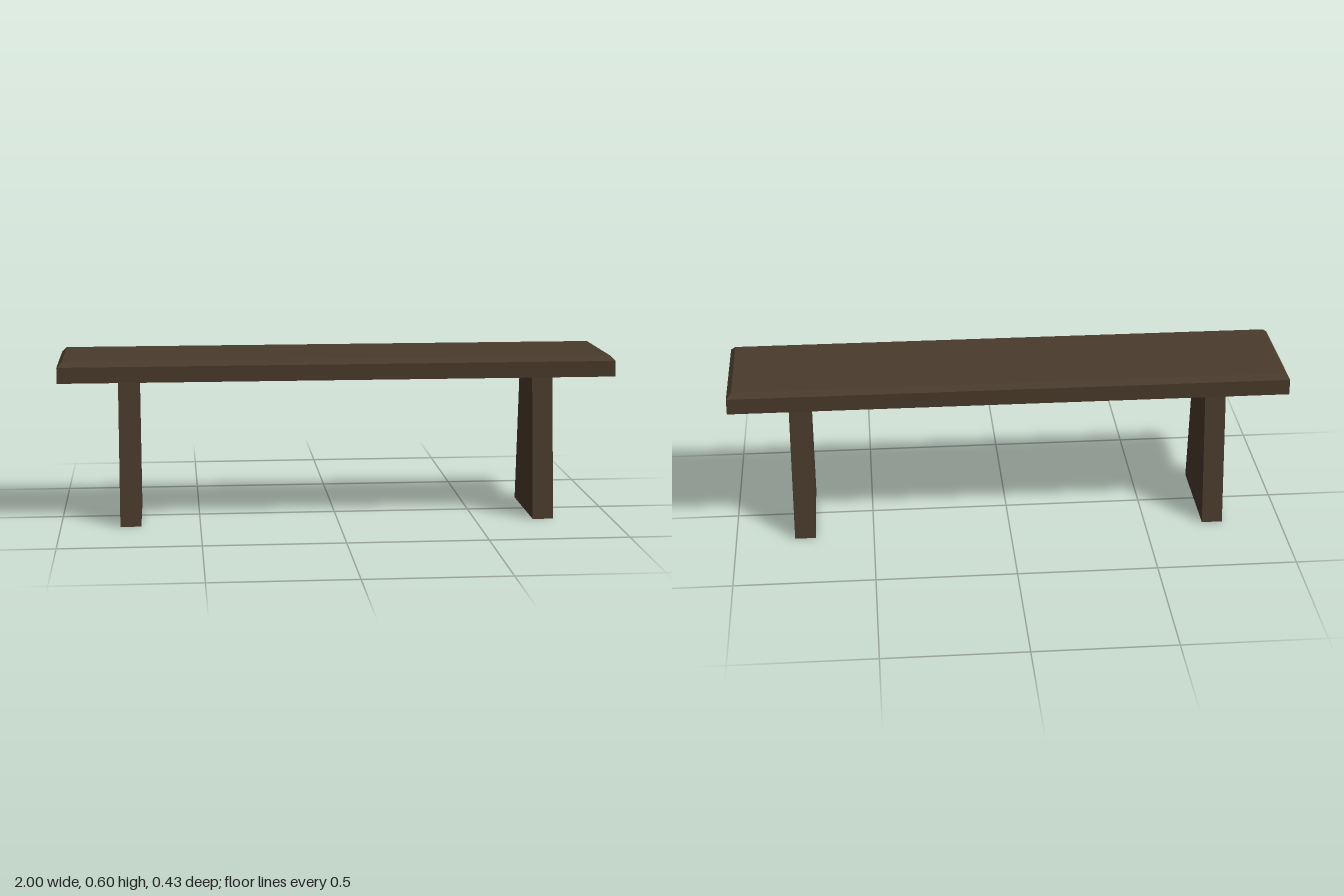
import * as THREE from 'three';

// Move every vertex of a box by a rule, then give it flat facet normals
function shapedBox(w, h, d, rows, rule) {
  const box = new THREE.BoxGeometry(w, h, d, 1, rows, 1).translate(0, h / 2, 0);
  const geometry = box.toNonIndexed();
  const position = geometry.attributes.position;
  const v = new THREE.Vector3();
  for (let i = 0; i < position.count; i++) {
    rule(v.fromBufferAttribute(position, i));
    position.setXYZ(i, v.x, v.y, v.z);
  }
  geometry.computeVertexNormals();
  return geometry;
}

export function createModel() {
  const bench = new THREE.Group();
  bench.name = 'bench';
  const wood = new THREE.MeshStandardMaterial({ color: 0x4a3b2c });
  wood.name = 'dark wood';

  const legHeight = 0.527, seatHeight = 0.075, bevel = 0.018;

  // Seat plank with a bevelled upper edge
  const seatGeometry = shapedBox(2, seatHeight, 0.425, 2, (v) => {
    if (v.y > seatHeight * 0.75) {
      v.x -= Math.sign(v.x) * bevel;
      v.z -= Math.sign(v.z) * bevel;
    } else if (v.y > seatHeight * 0.25) {
      v.y = seatHeight - bevel;
    }
  });
  const seat = new THREE.Mesh(seatGeometry, wood);
  seat.name = 'seat';
  seat.position.y = legHeight;
  bench.add(seat);

  // Slab legs, narrower at the top
  const legGeometry = shapedBox(0.075, legHeight, 0.375, 1, (v) => {
    if (v.y > legHeight / 2) v.z *= 0.667;
  });
  for (const [name, side] of [['leftLeg', 1], ['rightLeg', -1]]) {
    const leg = new THREE.Mesh(legGeometry, wood);
    leg.name = name;
    leg.position.x = side * 0.75;
    bench.add(leg);
  }

  return bench;
}
